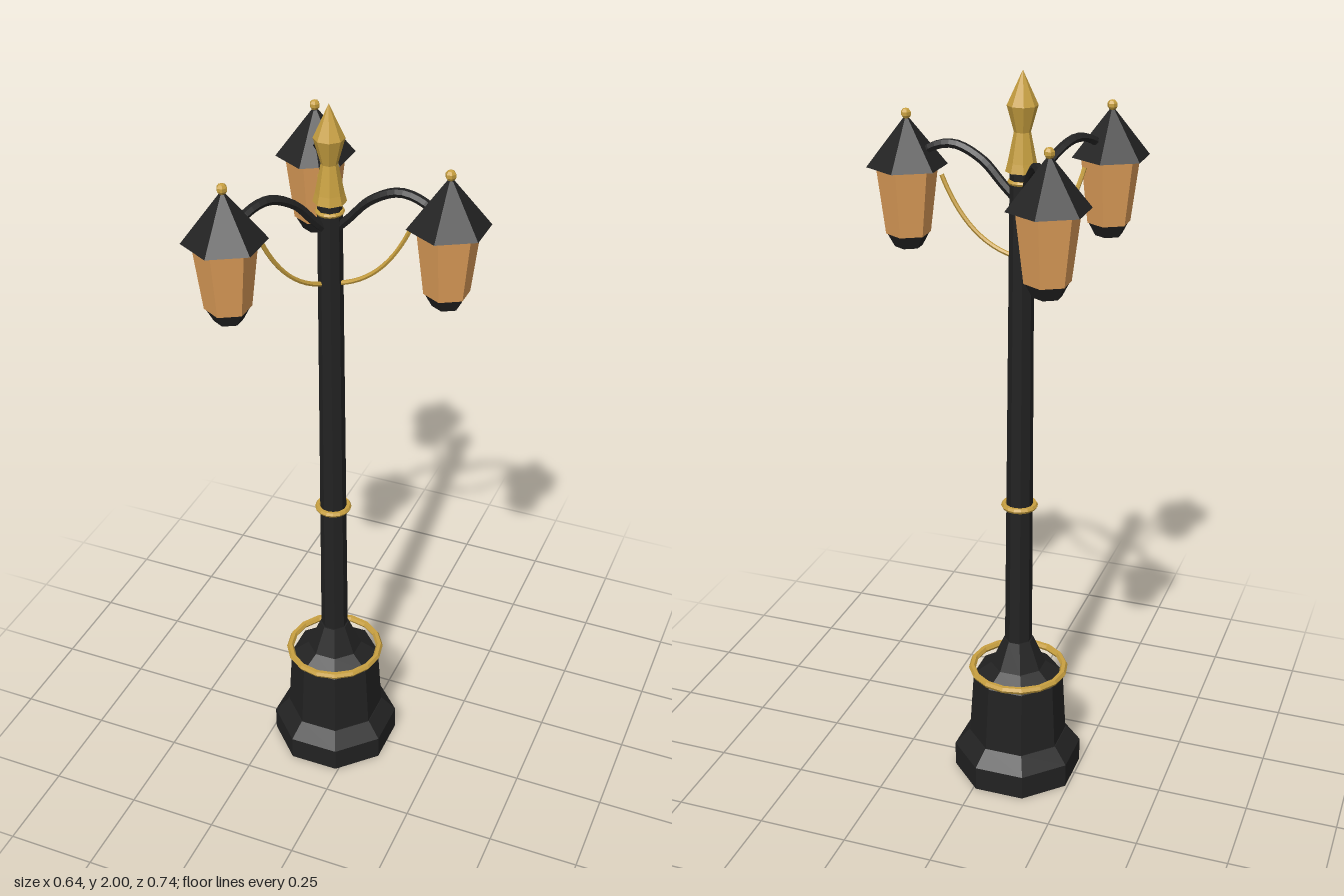
import * as THREE from 'three';

const iron = new THREE.MeshStandardMaterial({ color: 0x222222, flatShading: true });
iron.name = 'black iron';
const gold = new THREE.MeshStandardMaterial({ color: 0xc8a040, flatShading: true });
gold.name = 'gold trim';
const glass = new THREE.MeshStandardMaterial({ color: 0xdc9c58, flatShading: true });
glass.name = 'amber glass';

function add(parent, name, geometry, material, y = 0) {
  const mesh = new THREE.Mesh(geometry, material);
  mesh.name = name;
  mesh.position.y = y;
  parent.add(mesh);
  return mesh;
}

// Faceted turned shape from [radius, height] pairs, listed bottom to top
function turned(profile, sides) {
  const points = profile.map(([r, y]) => new THREE.Vector2(r, y));
  return new THREE.LatheGeometry(points, sides, Math.PI / sides);
}

function ring(radius, tube) {
  return new THREE.TorusGeometry(radius, tube, 6, 16).rotateX(Math.PI / 2);
}

const v = (x, y) => new THREE.Vector3(x, y, 0);

// Six-sided lantern, its axis at the local origin
function createLantern() {
  const g = new THREE.Group();
  g.name = 'lantern';
  add(g, 'lanternRoof', new THREE.CylinderGeometry(0.008, 0.104, 0.12, 6), iron, 1.8);
  add(g, 'lanternGlass', new THREE.CylinderGeometry(0.08, 0.058, 0.18, 6), glass, 1.655);
  add(g, 'lanternBottom', new THREE.CylinderGeometry(0.055, 0.036, 0.035, 6), iron, 1.5475);
  add(g, 'lanternKnob', new THREE.SphereGeometry(0.014, 6, 5), gold, 1.872);
  return g;
}

export function createModel() {
  const model = new THREE.Group();
  model.name = 'streetLamp';
  const post = new THREE.Group();
  post.name = 'post';
  post.position.x = -0.077;
  model.add(post);

  // Octagonal pedestal
  add(post, 'plinth', turned([[0, 0], [0.18, 0], [0.18, 0.07], [0.14, 0.115], [0, 0.115]], 8), iron);
  add(post, 'pedestal', turned([[0.138, 0.11], [0.126, 0.305], [0.077, 0.34], [0.042, 0.42], [0, 0.42]], 8), iron);
  add(post, 'pedestalRing', ring(0.13, 0.01), gold, 0.325);

  // Column and its rings
  add(post, 'column', turned([[0.038, 0.4], [0.031, 1.75], [0, 1.75]], 8), iron);
  add(post, 'columnRing', ring(0.042, 0.008), gold, 0.835);
  add(post, 'collarRing', ring(0.031, 0.006), gold, 1.726);

  // Pointed finial
  add(post, 'finial', turned([[0, 1.745], [0.042, 1.752], [0.036, 1.775], [0.021, 1.85],
    [0.039, 1.915], [0, 2]], 8), gold);

  // Three arms, each with a brace and a lantern
  const armPath = new THREE.CatmullRomCurve3([v(0.01, 1.675), v(0.05, 1.715), v(0.105, 1.772),
    v(0.18, 1.806), v(0.245, 1.79), v(0.285, 1.75)]);
  const bracePath = new THREE.QuadraticBezierCurve3(v(0.02, 1.532), v(0.145, 1.56), v(0.213, 1.725));
  const armGeometry = new THREE.TubeGeometry(armPath, 18, 0.012, 6);
  const braceGeometry = new THREE.TubeGeometry(bracePath, 14, 0.006, 6);
  for (let i = 0; i < 3; i++) {
    const angle = (i * Math.PI * 2) / 3;
    const branch = new THREE.Group();
    branch.name = 'branch';
    branch.rotation.y = angle;
    add(branch, 'arm', armGeometry, iron);
    add(branch, 'brace', braceGeometry, gold);
    const lantern = createLantern();
    lantern.position.x = 0.306;
    branch.add(lantern);
    post.add(branch);
  }
  return model;
}
